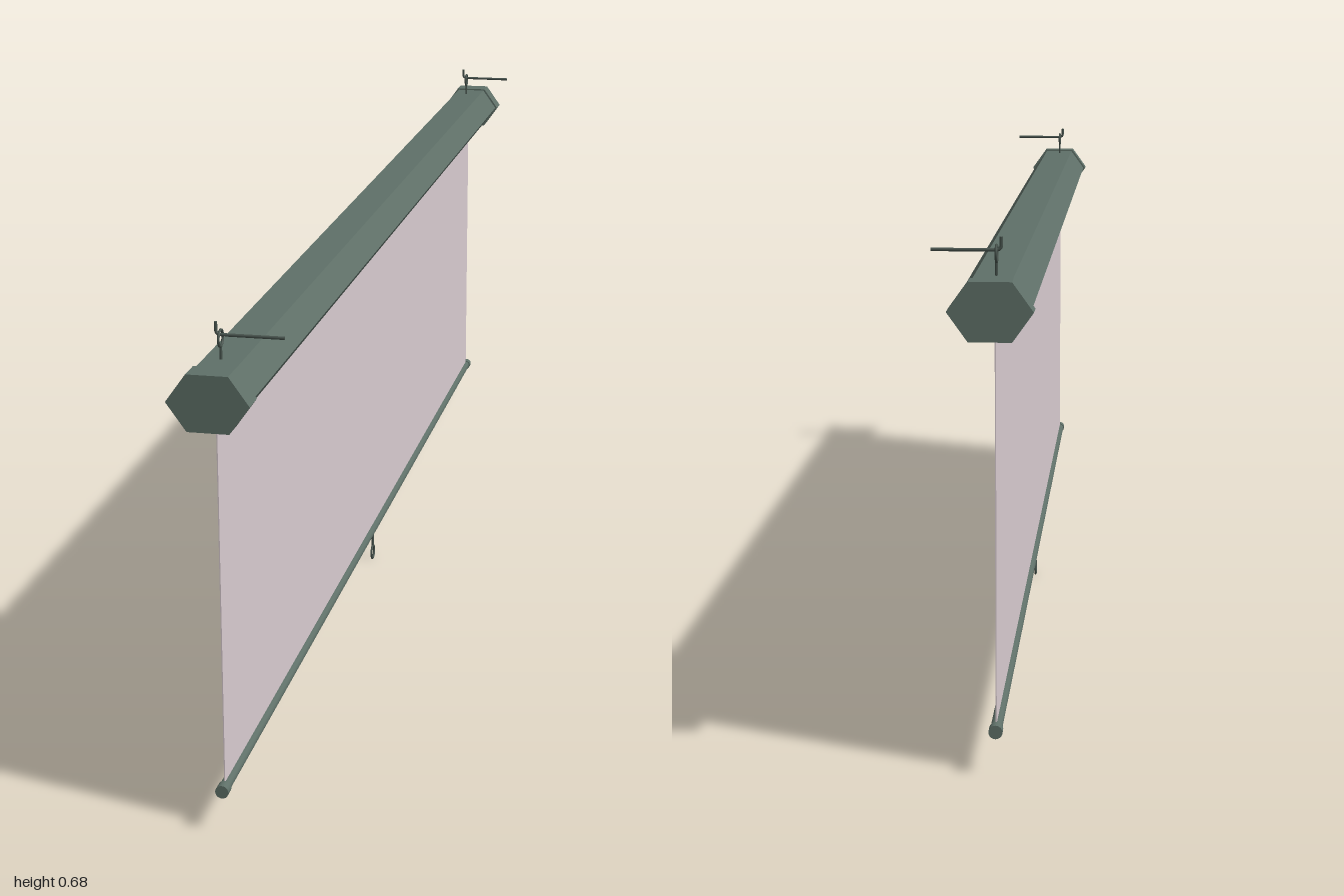
import * as THREE from 'three';

const CX = -0.0135; // axis of the housing
const SX = -0.0165; // plane of the screen, bar and rings
const CY = 0.6;

const metal = new THREE.MeshStandardMaterial({ color: 0x5f7068, flatShading: true });
const smoothMetal = new THREE.MeshStandardMaterial({ color: 0x5f7068 });
const wire = new THREE.MeshStandardMaterial({ color: 0x46524c });
const fabric = new THREE.MeshStandardMaterial({ color: 0xdacdd1, side: THREE.DoubleSide });

// Flattened hexagon, starting at the lower right corner and going round
const hexagon = (s) => [[0.027, -0.037], [0.0535, 0], [0.027, 0.037], [-0.027, 0.037], [-0.0535, 0], [-0.027, -0.037]]
  .map(([x, y]) => new THREE.Vector2(CX + x * s, CY + y * s));

function extrude(points, depth) {
  const geometry = new THREE.ExtrudeGeometry(new THREE.Shape(points), { depth, bevelEnabled: false });
  return geometry.translate(0, 0, -depth / 2);
}

function add(parent, name, geometry, material, x = 0, y = 0, z = 0) {
  const mesh = new THREE.Mesh(geometry, material);
  mesh.name = name;
  mesh.position.set(x, y, z);
  parent.add(mesh);
  return mesh;
}

// Thin closed ring lying in the y-z plane
const ringGeometry = (radius) => new THREE.TorusGeometry(radius, 0.0018, 8, 24).rotateY(Math.PI / 2);

export function createModel() {
  const group = new THREE.Group();
  group.name = 'projectionScreen';

  // Hollow hexagonal housing with a slot along its underside
  const outer = hexagon(0.93), inner = hexagon(0.82);
  const slot = (x, ring) => new THREE.Vector2(SX + x, ring[0].y);
  add(group, 'housing', extrude([
    slot(0.013, outer), ...outer, slot(-0.013, outer),
    slot(-0.013, inner), ...inner.slice().reverse(), slot(0.013, inner),
  ], 1.94), metal);

  // Roller inside the housing
  add(group, 'roller', new THREE.CylinderGeometry(0.018, 0.018, 1.92, 20).rotateX(Math.PI / 2), smoothMetal, CX, CY, 0);

  // Fabric and its bottom bar
  add(group, 'screenFabric', new THREE.BoxGeometry(0.0015, 0.53, 1.9), fabric, SX, 0.325, 0);
  add(group, 'bottomBar', new THREE.CylinderGeometry(0.0075, 0.0075, 1.92, 20).rotateX(Math.PI / 2), smoothMetal, SX, 0.057, 0);

  for (const side of [-1, 1]) {
    add(group, 'endCap', extrude(hexagon(1), 0.035), metal, 0, 0, side * 0.9825);
    add(group, 'barCap', new THREE.CylinderGeometry(0.009, 0.009, 0.015, 20).rotateX(Math.PI / 2), smoothMetal, SX, 0.057, side * 0.9575);

    // Eyelet on top, with an L-shaped wall hook passing through it
    const hanger = new THREE.Group();
    hanger.name = 'hanger';
    hanger.position.set(SX, 0, side * 0.923);
    group.add(hanger);
    add(hanger, 'eyeletStem', new THREE.CylinderGeometry(0.0018, 0.0018, 0.022, 10), wire, 0, 0.641, 0);
    add(hanger, 'eyeletRing', ringGeometry(0.0105), wire, 0, 0.662, 0);

    const path = new THREE.CurvePath();
    const v = (x, y) => new THREE.Vector3(x, y, 0);
    path.add(new THREE.LineCurve3(v(-0.006, 0.683), v(-0.006, 0.673)));
    path.add(new THREE.QuadraticBezierCurve3(v(-0.006, 0.673), v(-0.006, 0.6665), v(0.001, 0.6665)));
    path.add(new THREE.LineCurve3(v(0.001, 0.6665), v(0.082, 0.6665)));
    add(hanger, 'wallHook', new THREE.TubeGeometry(path, 48, 0.0022, 8), wire);
    for (const [x, y, turn] of [[-0.006, 0.683, [-Math.PI / 2, 0]], [0.082, 0.6665, [0, Math.PI / 2]]]) {
      const tip = add(hanger, 'hookTip', new THREE.CircleGeometry(0.0022, 8), wire, x, y, 0);
      tip.rotation.set(turn[0], turn[1], 0);
    }
  }

  // Pull ring under the middle of the bar
  add(group, 'pullStem', new THREE.CylinderGeometry(0.0018, 0.0018, 0.028, 10), wire, SX, 0.038, 0);
  add(group, 'pullRing', ringGeometry(0.0112), wire, SX, 0.013, 0);

  return group;
}
